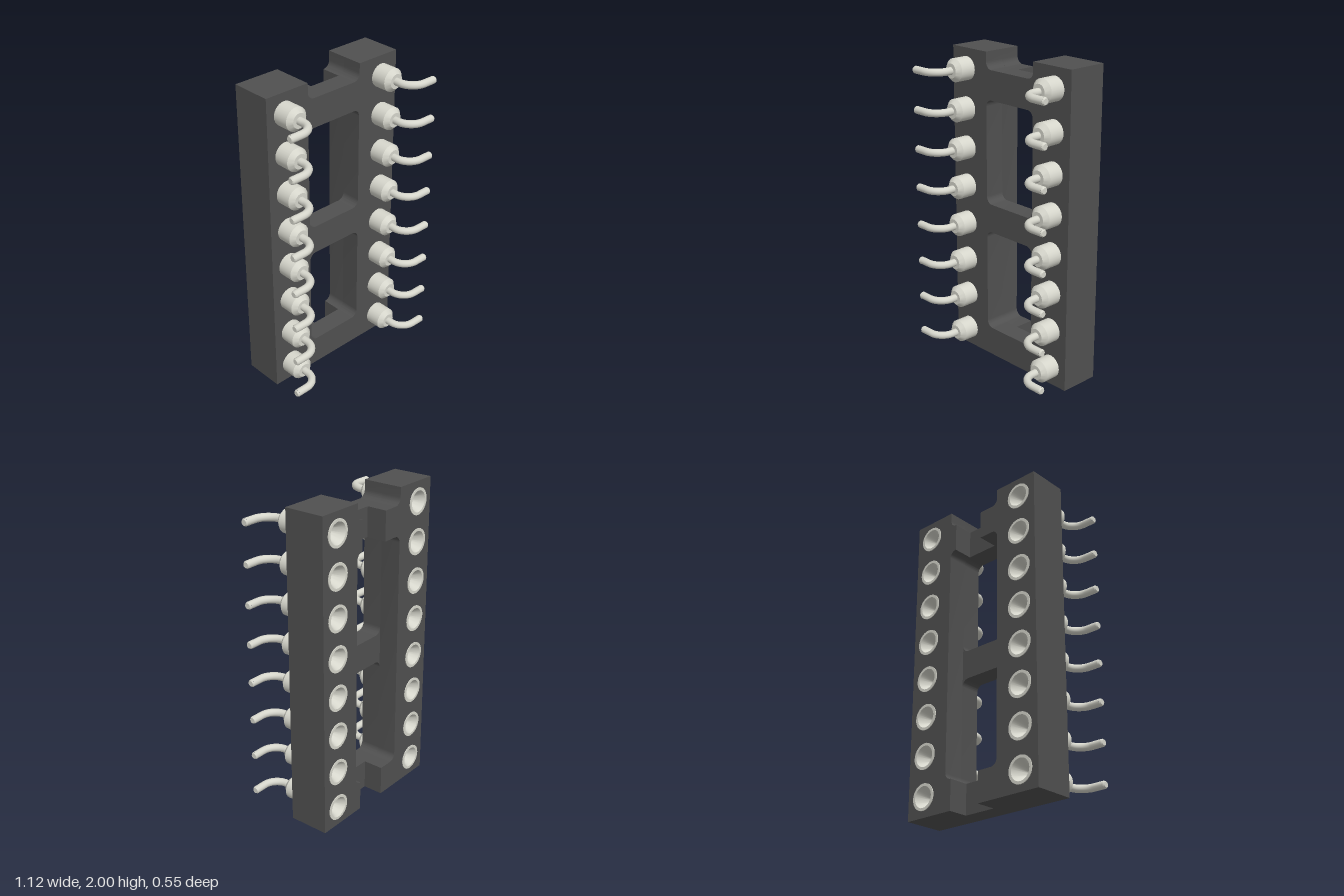
import * as THREE from 'three';
import { toCreasedNormals } from 'three/addons/utils/BufferGeometryUtils.js';

const PIN_X = 0.375, R = 0.045;
const Z_BACK = -0.27, Z_MID = -0.14, Z_FRONT = -0.01;
const pinYs = Array.from({ length: 8 }, (_, i) => 0.125 + 0.25 * i);

function drillHoles(shape, xs) {
  for (const x of xs) for (const y of pinYs) {
    const hole = new THREE.Path();
    hole.absarc(x, y, 0.073, 0, Math.PI * 2, true);
    shape.holes.push(hole);
  }
}

function roundedWindow(x0, x1, y0, y1, r) {
  const p = new THREE.Path();
  p.absarc(x0 + r, y0 + r, r, Math.PI, Math.PI * 1.5, false);
  p.absarc(x1 - r, y0 + r, r, -Math.PI / 2, 0, false);
  p.absarc(x1 - r, y1 - r, r, 0, Math.PI / 2, false);
  p.absarc(x0 + r, y1 - r, r, Math.PI / 2, Math.PI, false);
  p.closePath();
  return p;
}

function slab(shape, z0, z1) {
  const g = new THREE.ExtrudeGeometry(shape, { depth: z1 - z0, bevelEnabled: false, curveSegments: 8 });
  g.translate(0, 0, z0);
  return toCreasedNormals(g, 0.6);
}

// Front layer: full frame with two windows and the open notch at the top
function frameGeometry() {
  const s = new THREE.Shape();
  s.moveTo(-0.5, 0);
  s.lineTo(0.5, 0);
  s.lineTo(0.5, 2);
  s.lineTo(0.2, 2);
  s.absarc(0.2 - R, 1.895 + R, R, 0, -Math.PI / 2, true);
  s.absarc(-0.2 + R, 1.895 + R, R, -Math.PI / 2, -Math.PI, true);
  s.lineTo(-0.2, 2);
  s.lineTo(-0.5, 2);
  s.holes.push(roundedWindow(-0.2, 0.2, 0.19, 0.86, R), roundedWindow(-0.2, 0.2, 1.045, 1.71, R));
  drillHoles(s, [-PIN_X, PIN_X]);
  return slab(s, Z_MID, Z_FRONT);
}

// Back layer: one rail with end tabs reaching inwards to x = tab
function railGeometry(side, tab) {
  const inner = side * 0.2, fx = inner - side * R;
  const s = new THREE.Shape();
  s.moveTo(side * 0.5, 0);
  s.lineTo(side * 0.5, 2);
  s.lineTo(inner, 2);
  // Concave fillet between the rail's inner edge and a tab's edge
  const fillet = (cy, a0, a1) => {
    for (let i = 0; i <= 8; i++) {
      const a = a0 + (a1 - a0) * i / 8;
      s.lineTo(fx + side * R * Math.cos(a), cy + R * Math.sin(a));
    }
  };
  fillet(1.895 + R, 0, -Math.PI / 2);
  s.lineTo(tab, 1.895);
  s.lineTo(tab, 1.71);
  fillet(1.71 - R, Math.PI / 2, 0);
  fillet(0.19 + R, 0, -Math.PI / 2);
  s.lineTo(tab, 0.19);
  s.lineTo(tab, 0);
  drillHoles(s, [side * PIN_X]);
  return slab(s, Z_BACK, Z_MID);
}

// Turned sleeve: funnel socket at the back, chamfered nose at the front
function sleeveGeometry() {
  const profile = [
    [0, -0.08], [0.022, -0.08], [0.022, -0.19], [0.066, -0.275], [0.083, -0.275],
    [0.083, -0.268], [0.073, -0.268], [0.073, 0.09], [0.046, 0.118], [0, 0.118],
  ].map(([r, z]) => new THREE.Vector2(r, z));
  const g = new THREE.LatheGeometry(profile, 28);
  g.rotateX(Math.PI / 2);
  return toCreasedNormals(g, 0.5);
}

// Bent lead: straight out, quarter bend, then outwards
function leadGeometry() {
  const v = (x, z) => new THREE.Vector3(x, 0, z);
  const path = new THREE.CurvePath();
  path.add(new THREE.LineCurve3(v(0, 0.1), v(0, 0.147)));
  path.add(new THREE.CubicBezierCurve3(v(0, 0.147), v(0, 0.202), v(0.045, 0.247), v(0.1, 0.247)));
  path.add(new THREE.LineCurve3(v(0.1, 0.247), v(0.176, 0.247)));
  return new THREE.TubeGeometry(path, 28, 0.024, 14);
}

function leadTipGeometry() {
  const g = new THREE.CylinderGeometry(0.018, 0.024, 0.009, 14);
  g.rotateZ(-Math.PI / 2);
  g.translate(0.1805, 0, 0.247);
  return toCreasedNormals(g, 0.5);
}

export function createModel() {
  const plastic = new THREE.MeshStandardMaterial({ color: 0x505050 });
  const metal = new THREE.MeshStandardMaterial({ color: 0xd6d6cc });
  const model = new THREE.Group();
  model.name = 'chipSocket';

  const add = (parent, name, geometry, material) => {
    const mesh = new THREE.Mesh(geometry, material);
    mesh.name = name;
    parent.add(mesh);
  };

  const body = new THREE.Group();
  body.name = 'body';
  model.add(body);
  add(body, 'frame', frameGeometry(), plastic);
  add(body, 'leftRail', railGeometry(1, 0.155), plastic);
  add(body, 'rightRail', railGeometry(-1, -0.06), plastic);

  // Two columns of pins; the right column is turned half round
  const sleeve = sleeveGeometry(), lead = leadGeometry(), tip = leadTipGeometry();
  for (const side of [1, -1]) for (const y of pinYs) {
    const pin = new THREE.Group();
    pin.name = side > 0 ? 'leftPin' : 'rightPin';
    pin.position.set(side * PIN_X, y, 0);
    if (side < 0) pin.rotation.z = Math.PI;
    add(pin, 'sleeve', sleeve, metal);
    add(pin, 'lead', lead, metal);
    add(pin, 'leadTip', tip, metal);
    model.add(pin);
  }
  return model;
}
